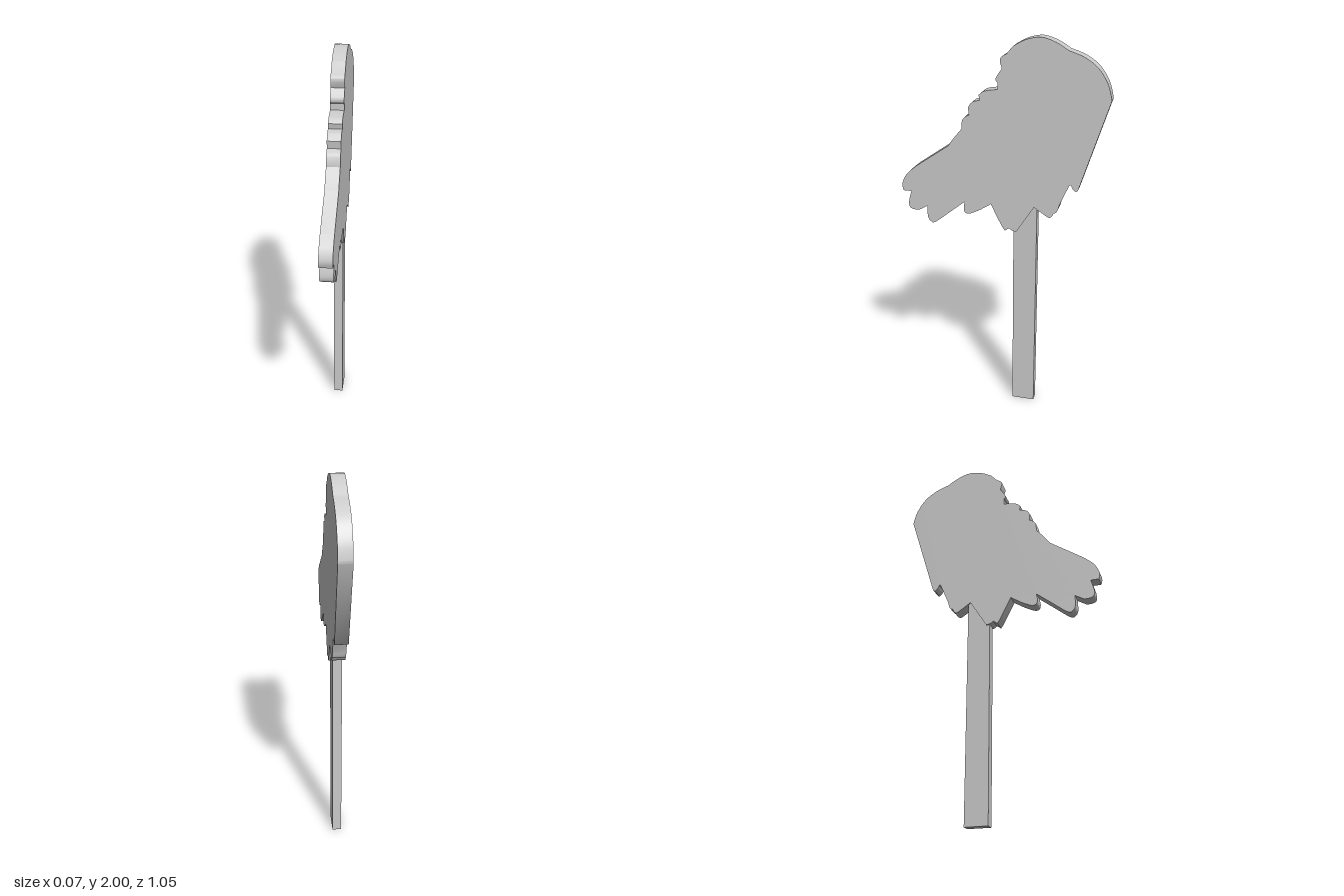
import * as THREE from 'three';
import { toCreasedNormals } from 'three/addons/utils/BufferGeometryUtils.js';

// Outline of the cut-out as curved runs that meet in sharp corners: [-z, y]
const outline = [
  // rounded back of the head, then the straight back edge
  [[.32, 1.945], [.39, 1.92], [.455, 1.875], [.503, 1.805], [.524, 1.735], [.523, 1.715]],
  // ragged tips along the bottom
  [[.387, 1.275], [.376, 1.267], [.36, 1.28], [.352, 1.297], [.344, 1.298]],
  [[.297, 1.187], [.285, 1.15], [.27, 1.143]],
  [[.26, 1.122], [.245, 1.117], [.217, 1.133], [.17, 1.165]],
  [[.08, 1.022], [.058, 1.027], [.042, 1.038]],
  [[.02, 1.022], [0, 1.054], [-.053, 1.16]],
  [[-.11, 1.123], [-.165, 1.097], [-.19, 1.102], [-.196, 1.128], [-.19, 1.16]],
  [[-.27, 1.096], [-.35, 1.033], [-.376, 1.033], [-.392, 1.06], [-.392, 1.118]],
  [[-.44, 1.09], [-.482, 1.096], [-.493, 1.128], [-.477, 1.192]],
  // long forward lobe
  [[-.519, 1.192], [-.524, 1.229], [-.498, 1.282], [-.445, 1.33]],
  [[-.27, 1.451], [-.244, 1.488], [-.2, 1.541]],
  // scalloped front edge
  [[-.196, 1.584], [-.185, 1.6], [-.16, 1.615]],
  [[-.164, 1.652], [-.143, 1.679], [-.106, 1.69]],
  [[-.11, 1.716], [-.08, 1.737], [-.016, 1.748]],
  [[-.016, 1.78], [-.026, 1.8], [.005, 1.848]],
  [[-.005, 1.88], [0, 1.9], [.026, 1.917]],
  // crown
  [[.058, 1.954], [.117, 1.986], [.19, 2], [.26, 1.98], [.32, 1.945]],
];

function outlineShape() {
  const points = [];
  for (const run of outline) {
    const curve = new THREE.SplineCurve(run.map(([u, y]) => new THREE.Vector2(u, y)));
    points.push(...curve.getPoints((run.length - 1) * 4));
  }
  points.pop(); // the last point repeats the first
  return new THREE.Shape(points);
}

export function createModel() {
  const model = new THREE.Group();
  const material = new THREE.MeshStandardMaterial({ color: 0xcccccc });

  // flat cut-out panel, standing in the y-z plane
  const thickness = 0.066;
  const panelGeometry = new THREE.ExtrudeGeometry(outlineShape(), { depth: thickness, bevelEnabled: false });
  panelGeometry.translate(0, 0, -thickness / 2).rotateY(Math.PI / 2);
  const panel = new THREE.Mesh(toCreasedNormals(panelGeometry, 0.6), material);
  panel.name = 'cutoutPanel';
  model.add(panel);

  // handle, running up into the panel
  const handleHeight = 1.25;
  const handle = new THREE.Mesh(new THREE.BoxGeometry(0.048, handleHeight, 0.12), material);
  handle.name = 'handle';
  handle.position.set(-0.002, handleHeight / 2, -0.123);
  model.add(handle);

  return model;
}
